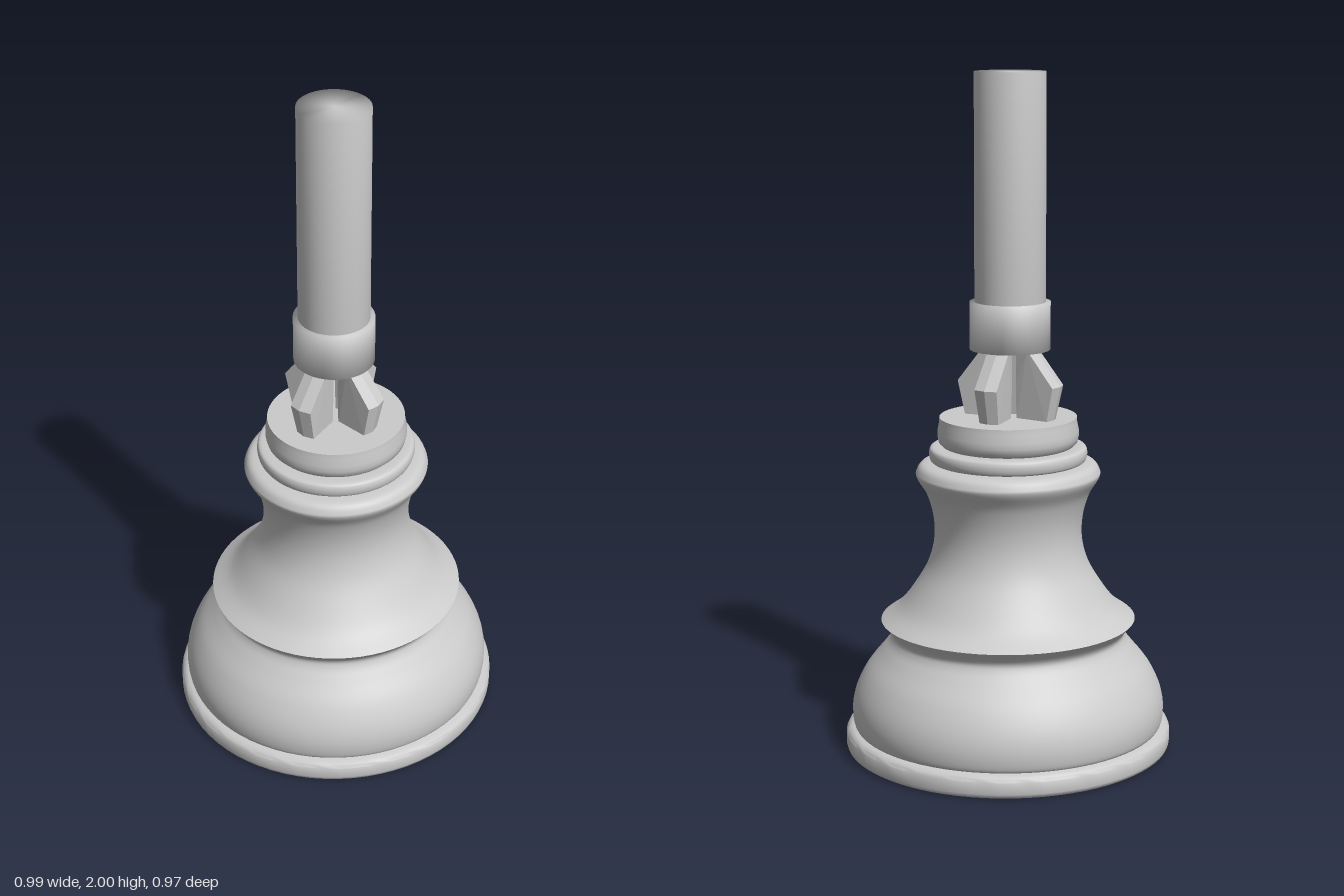
import * as THREE from 'three';
import { mergeVertices, toCreasedNormals } from 'three/addons/utils/BufferGeometryUtils.js';
import { ConvexGeometry } from 'three/addons/geometries/ConvexGeometry.js';

const grey = new THREE.MeshStandardMaterial({ color: 0xcccccc });
const faceted = new THREE.MeshStandardMaterial({ color: 0xcccccc, flatShading: true });

const toVectors = (pts) => pts.map(([r, y]) => new THREE.Vector2(r, y));

// Smooth curve through a few [radius, height] points
const smooth = (pts, n = 32) => new THREE.SplineCurve(toVectors(pts)).getPoints(n);

// Turned part; profile runs so that the surface faces outward
function turned(name, points, crease) {
  let geometry = new THREE.LatheGeometry(points, 72);
  if (crease) geometry = toCreasedNormals(geometry, crease);
  const mesh = new THREE.Mesh(geometry, grey);
  mesh.name = name;
  return mesh;
}

// Capped cylinder with softly shaded rims
function softCylinder(name, radius, y0, y1) {
  let geometry = new THREE.CylinderGeometry(radius, radius, y1 - y0, 48);
  geometry.deleteAttribute('normal');
  geometry.deleteAttribute('uv');
  geometry = mergeVertices(geometry);
  geometry.computeVertexNormals();
  geometry.translate(0, (y0 + y1) / 2, 0);
  const mesh = new THREE.Mesh(geometry, grey);
  mesh.name = name;
  return mesh;
}

// Faceted prong built from three pentagonal sections, pointing to +x
function clawGeometry() {
  const points = [];
  const sections = [
    [0.99, 0.03, 0.14, 0.03],
    [1.10, 0.03, 0.163, 0.036],
    [1.205, 0.03, 0.08, 0.034],
  ];
  for (const [y, inner, outer, half] of sections) {
    points.push(new THREE.Vector3(outer, y, 0));
    for (const s of [-1, 1]) {
      points.push(new THREE.Vector3(inner, y, s * half * 0.6));
      points.push(new THREE.Vector3(outer - 0.008, y, s * half));
    }
  }
  return new ConvexGeometry(points);
}

export function createModel() {
  const model = new THREE.Group();
  model.name = 'bellShapedStand';

  // Turned pedestal, very slightly oval
  const pedestal = new THREE.Group();
  pedestal.name = 'pedestal';
  pedestal.scale.z = 0.98;

  // Foot ring with the recess underneath
  pedestal.add(turned('footRing', toVectors([
    [0, 0.2], [0.3, 0.2], [0.32, 0.05], [0.335, 0.02], [0.36, 0.005], [0.4, 0],
    [0.48, 0], [0.49, 0.006], [0.493, 0.015], [0.493, 0.05], [0.488, 0.06], [0.475, 0.066], [0.45, 0.07],
  ]), 0.9));

  // Bulging lower body up to the underside of the lip
  pedestal.add(turned('lowerBody', smooth([
    [0.45, 0.06], [0.468, 0.075], [0.473, 0.125], [0.461, 0.18], [0.43, 0.24],
    [0.385, 0.295], [0.358, 0.33], [0.355, 0.355], [0.384, 0.39],
  ], 48)));

  // Concave waist from the lip to the shoulder
  pedestal.add(turned('waist', smooth([
    [0.384, 0.39], [0.33, 0.43], [0.283, 0.49], [0.242, 0.56], [0.223, 0.63], [0.224, 0.7],
    [0.243, 0.77], [0.273, 0.82], [0.274, 0.84], [0.255, 0.862], [0.2, 0.868],
  ], 56)));

  // Thin moulding above the shoulder
  pedestal.add(turned('moulding', smooth([
    [0.19, 0.868], [0.225, 0.869], [0.235, 0.88], [0.236, 0.9], [0.226, 0.912], [0.19, 0.914],
  ])));

  // Flat-topped cap with a rounded lower edge
  pedestal.add(turned('cap', toVectors([
    [0.18, 0.91], [0.197, 0.916], [0.207, 0.926], [0.211, 0.942], [0.211, 0.96],
    [0.206, 0.985], [0.205, 1.0], [0, 1.0],
  ]), 0.7));
  model.add(pedestal);

  // Upper assembly: four claws, collar and rod
  const upper = new THREE.Group();
  upper.name = 'upperAssembly';
  upper.position.set(-0.003, 0, -0.005);
  const claw = clawGeometry();
  for (let i = 0; i < 4; i++) {
    const mesh = new THREE.Mesh(claw, faceted);
    mesh.name = 'claw' + (i + 1);
    mesh.rotation.y = (i * Math.PI) / 2;
    upper.add(mesh);
  }
  upper.add(softCylinder('collar', 0.118, 1.2, 1.34));
  upper.add(softCylinder('rod', 0.104, 1.25, 2.0));
  model.add(upper);

  return model;
}
